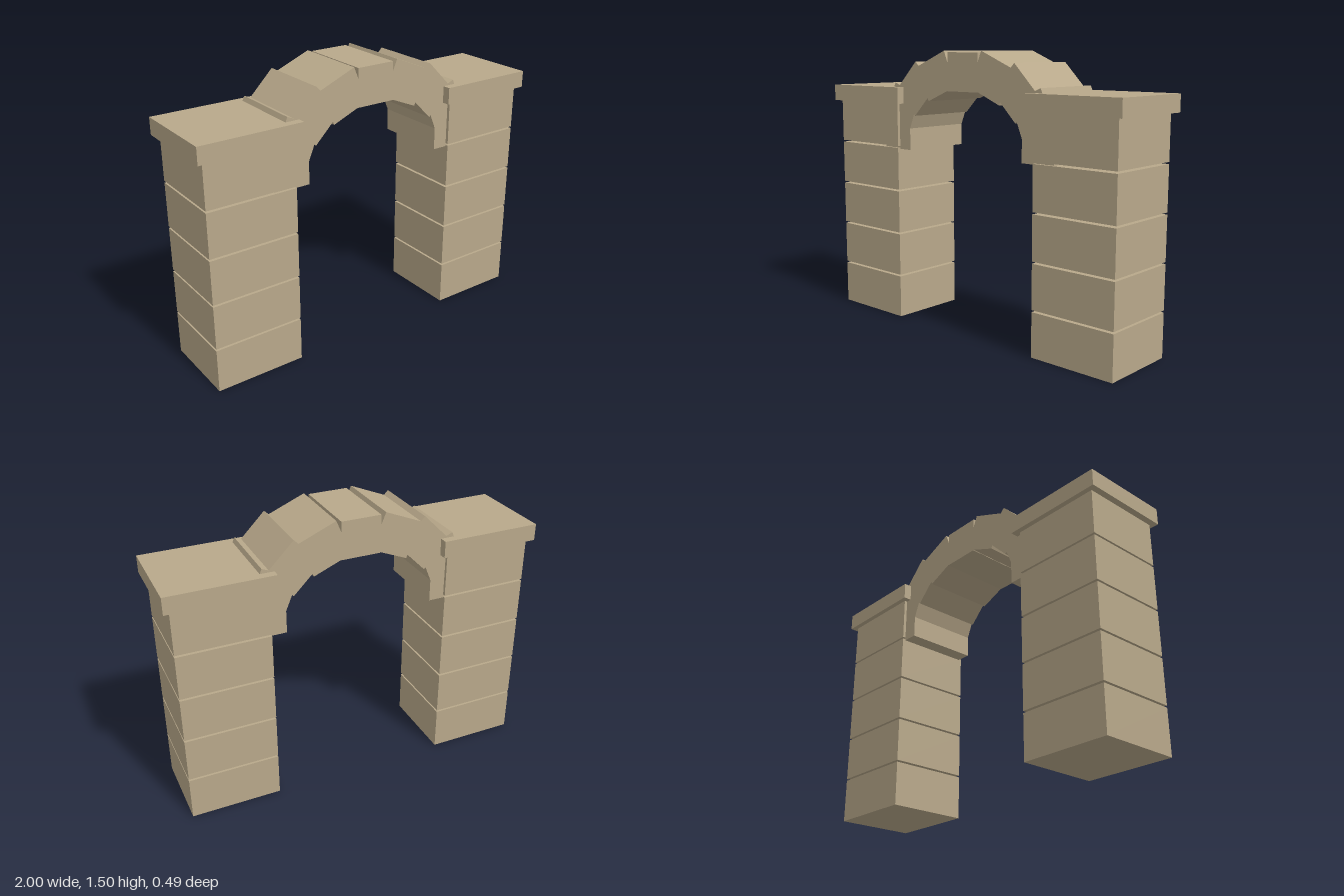
import * as THREE from 'three';

export function createModel() {
  const group = new THREE.Group();
  group.name = 'stoneArch';
  const stone = new THREE.MeshStandardMaterial({ color: 0xb8a88a });
  stone.name = 'sandstone';

  const addBlock = (parent, name, w, h, d, x, y, tilt = 0) => {
    const mesh = new THREE.Mesh(new THREE.BoxGeometry(w, h, d), stone);
    mesh.name = name;
    mesh.position.set(x, y, 0);
    mesh.rotation.z = tilt;
    parent.add(mesh);
  };

  // Two pillars of separate stacked blocks, each with an overhanging cap
  for (const side of [1, -1]) {
    const pillar = new THREE.Group();
    pillar.name = side > 0 ? 'leftPillar' : 'rightPillar';
    for (let i = 0; i < 5; i++) {
      addBlock(pillar, `pillarBlock${i + 1}`, 0.484, 0.235, 0.435, side * 0.725, 0.1175 + i * 0.2455);
    }
    addBlock(pillar, 'pillarCap', 0.55, 0.09, 0.489, side * 0.725, 1.262);
    group.add(pillar);
  }

  // Nine overlapping arch stones set along a half ellipse
  const arch = new THREE.Group();
  arch.name = 'arch';
  for (let i = 0; i < 9; i++) {
    const a = (i - 4) * Math.PI / 8;
    addBlock(arch, `archStone${i + 1}`, 0.212, 0.2, 0.402, 0.5 * Math.sin(a), 1.071 + 0.325 * Math.cos(a), -a);
  }
  group.add(arch);

  return group;
}
